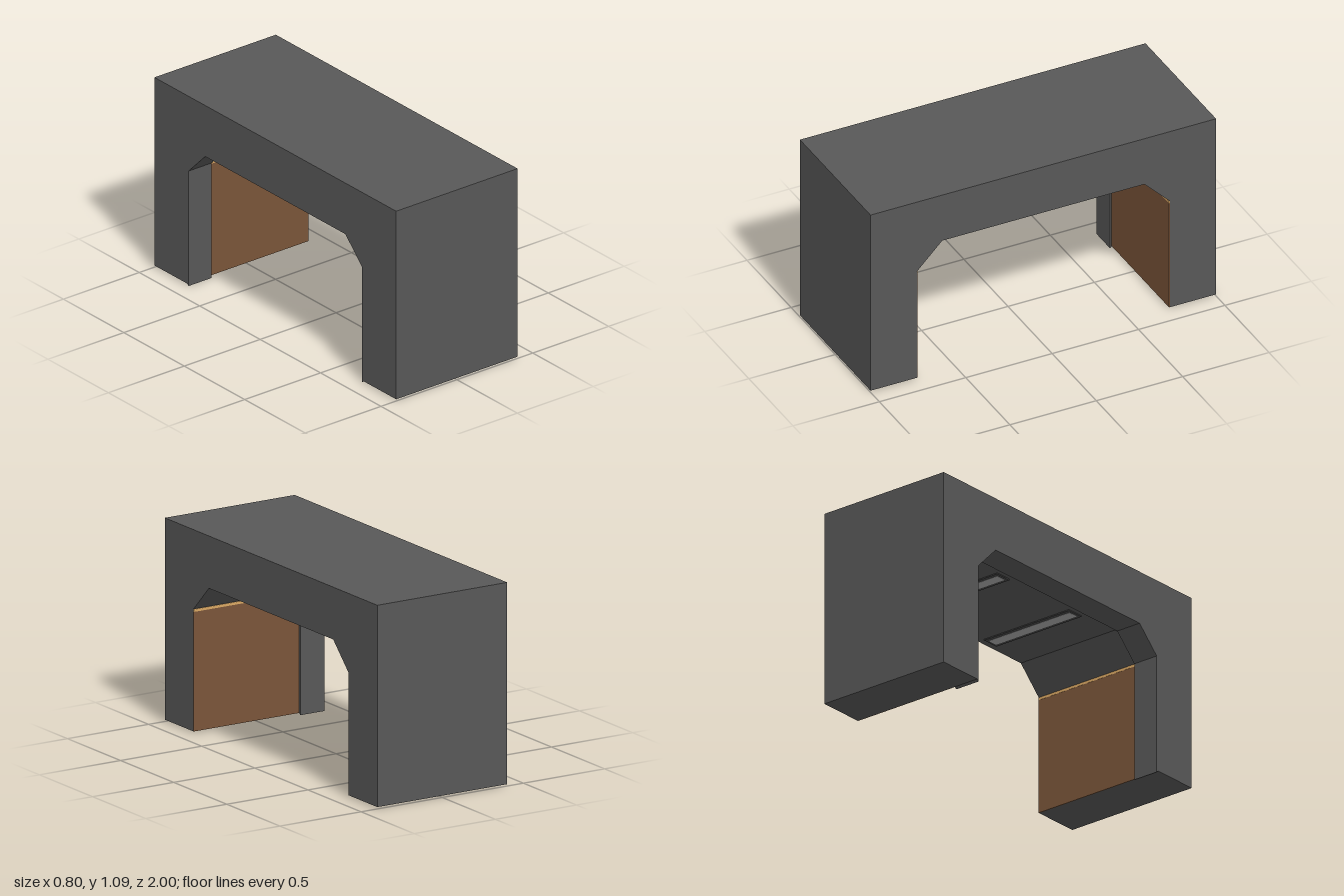
import * as THREE from 'three';

const material = (color) => new THREE.MeshStandardMaterial({ color, flatShading: true });

// Half of the opening outline as [z, y], from floor to ceiling
const outerEdge = [[0.73, 0.01], [0.73, 0.665], [0.585, 0.81]];
const innerEdge = [[0.718, 0], [0.718, 0.66], [0.58, 0.797]];
const mirrored = (edge) => [...edge, ...edge.map(([z, y]) => [-z, y]).reverse()];

// Extrude a [z, y] outline along x from x0 to x1
function extrudeAlongX(points, x0, x1) {
  const shape = new THREE.Shape(points.map(([z, y]) => new THREE.Vector2(-z, y)));
  const geometry = new THREE.ExtrudeGeometry(shape, { depth: x1 - x0, bevelEnabled: false });
  geometry.rotateY(Math.PI / 2);
  geometry.translate(x0, 0, 0);
  return geometry;
}

export function createModel() {
  const model = new THREE.Group();
  const stone = material(0x585858);
  const wood = material(0x7a5539);
  const trim = material(0xdaa864);
  const frame = material(0x484848);
  const lamp = material(0xaaaaaa);

  const add = (name, geometry, mat, x = 0, y = 0, z = 0) => {
    const mesh = new THREE.Mesh(geometry, mat);
    mesh.name = name;
    mesh.position.set(x, y, z);
    model.add(mesh);
  };
  const box = (name, w, h, d, mat, x, y, z) => add(name, new THREE.BoxGeometry(w, h, d), mat, x, y, z);

  // Solid block with the chamfered passage cut out
  const body = [[1, 0.01], [1, 1.09], [-1, 1.09], [-1, 0.01], ...mirrored(outerEdge).reverse()];
  add('archBody', extrudeAlongX(body, -0.4, 0.4), stone);

  // Raised band lining one end of the passage
  const band = [...mirrored(outerEdge), ...mirrored(innerEdge).reverse()];
  add('liningBand', extrudeAlongX(band, -0.4, -0.25), stone);

  for (const side of [1, -1]) {
    const label = side > 0 ? 'front' : 'back';
    // Wall panel with a pale strip along its top
    box(label + 'WallPanel', 0.65, 0.64, 0.004, wood, 0.075, 0.33, side * 0.73);
    box(label + 'PanelTrim', 0.65, 0.014, 0.006, trim, 0.075, 0.657, side * 0.73);
    // Ceiling lamp in a dark frame
    box(label + 'LampFrame', 0.57, 0.01, 0.1, frame, 0.075, 0.809, side * 0.29);
    box(label + 'Lamp', 0.54, 0.01, 0.06, lamp, 0.075, 0.808, side * 0.29);
  }
  return model;
}
